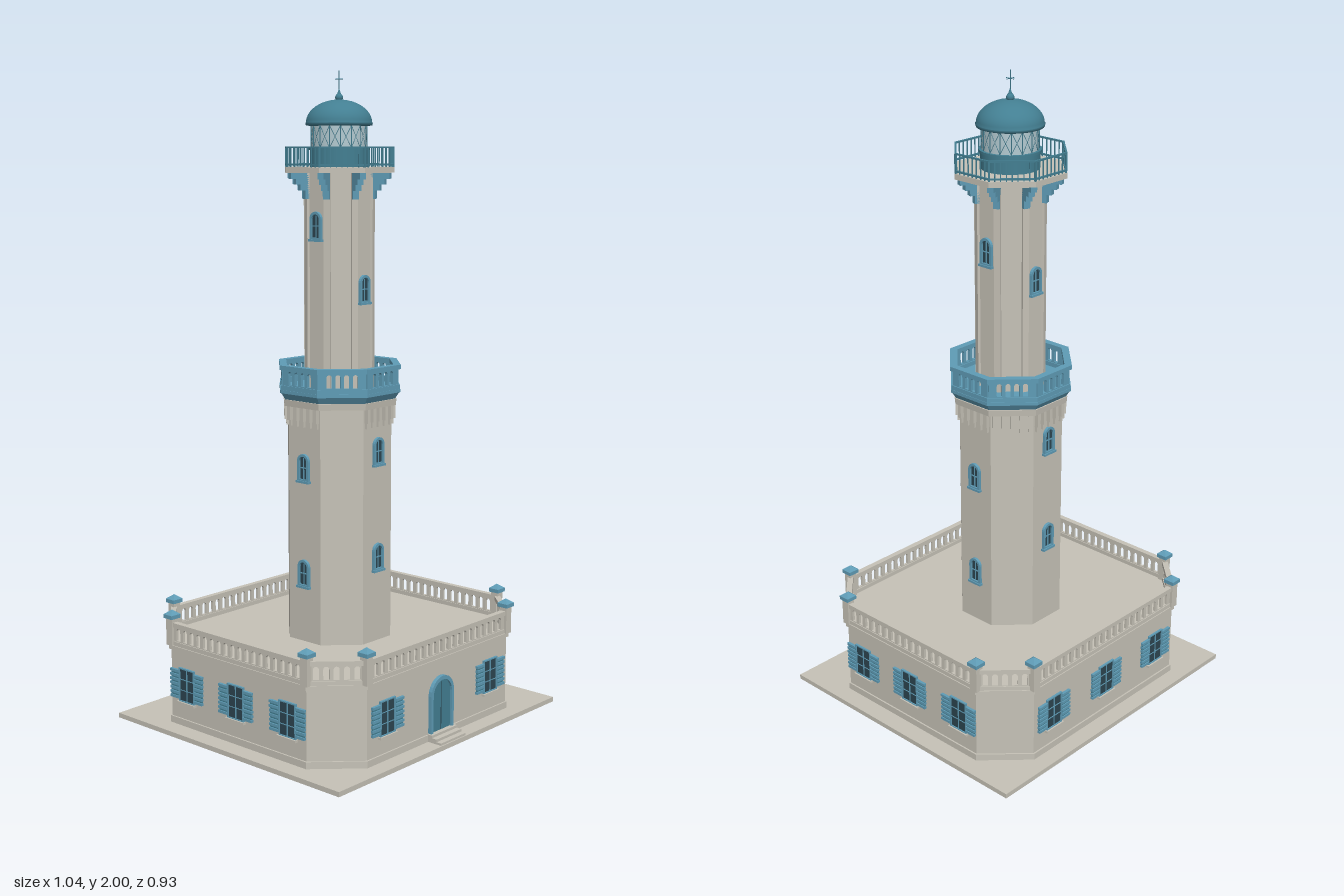
import * as THREE from 'three';

const mat = (name, color, side = THREE.FrontSide) => {
  const m = new THREE.MeshStandardMaterial({ color, side });
  m.name = name;
  return m;
};
const stone = mat('stone', 0xc6c2b7);
const blue = mat('blue paint', 0x5f9cb6);
const teal = mat('dark teal metal', 0x437f92);
const dark = mat('dark window', 0x2c4550);
const pane = mat('lantern glass', 0xb4cbd2);

function add(parent, name, geo, m, x = 0, y = 0, z = 0) {
  const mesh = new THREE.Mesh(geo, m);
  mesh.name = name;
  mesh.position.set(x, y, z);
  parent.add(mesh);
  return mesh;
}
const box = (p, name, m, w, h, d, x = 0, y = 0, z = 0) =>
  add(p, name, new THREE.BoxGeometry(w, h, d), m, x, y, z);

function group(parent, name, x = 0, y = 0, z = 0, ry = 0) {
  const g = new THREE.Group();
  g.name = name;
  g.position.set(x, y, z);
  g.rotation.y = ry;
  parent.add(g);
  return g;
}

// Regular octagonal drum with flat faces towards the axes; a0/a1 are apothems
const K = Math.cos(Math.PI / 8);
function octagon(p, name, m, a0, a1, y0, y1) {
  const g = new THREE.CylinderGeometry(a1 / K, a0 / K, y1 - y0, 8).rotateY(Math.PI / 8).toNonIndexed();
  g.computeVertexNormals();
  return add(p, name, g, m, 0, (y0 + y1) / 2);
}
const octPoints = (a) => Array.from({ length: 8 }, (_, i) => {
  const t = (i + 0.5) * Math.PI / 4;
  return [Math.sin(t) * a / K, Math.cos(t) * a / K];
});

// Chamfered rectangle of the ground floor, grown outwards by g
function basePoints(g) {
  const a = [0.333 + 0.41 * g, 0.405 + g], b = [0.452 + g, 0.283 + 0.41 * g];
  return [a, b, [b[0], -b[1]], [a[0], -a[1]], [-a[0], -a[1]], [-b[0], -b[1]], [-b[0], b[1]], [-a[0], a[1]]];
}
function baseSlab(p, name, g, y0, y1) {
  const shape = new THREE.Shape(basePoints(g).map(([x, z]) => new THREE.Vector2(x, -z)));
  const geo = new THREE.ExtrudeGeometry(shape, { depth: y1 - y0, bevelEnabled: false }).rotateX(-Math.PI / 2);
  return add(p, name, geo, stone, 0, y0);
}

// Calls fn(sideGroup, length) for each edge, local +z facing outwards
function eachSide(parent, name, pts, fn) {
  pts.forEach((a, i) => {
    const b = pts[(i + 1) % pts.length];
    const dx = b[0] - a[0], dz = b[1] - a[1];
    const mx = (a[0] + b[0]) / 2, mz = (a[1] + b[1]) / 2;
    const s = -dz * mx + dx * mz > 0 ? 1 : -1;
    fn(group(parent, name, mx, 0, mz, Math.atan2(-dz * s, dx * s)), Math.hypot(dx, dz));
  });
}

function arch(w, h, x = 0, y = 0, Type = THREE.Shape) {
  const s = new Type(), r = w / 2;
  s.moveTo(x - r, y);
  s.lineTo(x + r, y);
  s.lineTo(x + r, y + h - r);
  s.absarc(x, y + h - r, r, 0, Math.PI, false);
  s.lineTo(x - r, y);
  return s;
}
const extrude = (shape, depth) => new THREE.ExtrudeGeometry(shape, { depth, bevelEnabled: false, curveSegments: 6 });

// Pierced parapet: a panel of arched slots between two rails
function parapet(p, m, len, y0, y1, t, pitch) {
  const lo = 0.014, hi = 0.014, h = y1 - y0 - lo - hi;
  const panel = new THREE.Shape([[-len / 2, 0], [len / 2, 0], [len / 2, h], [-len / 2, h]]
    .map(([x, y]) => new THREE.Vector2(x, y)));
  const n = Math.floor((len - 0.02) / pitch);
  for (let i = 0; i < n; i++)
    panel.holes.push(arch(pitch * 0.58, h - 0.006, (i - (n - 1) / 2) * pitch, 0.003, THREE.Path));
  add(p, 'pierced panel', extrude(panel, t * 0.6), m, 0, y0 + lo, -t * 0.3);
  box(p, 'bottom rail', m, len + t * 0.4, lo, t, 0, y0 + lo / 2);
  box(p, 'top rail', m, len + t * 0.6, hi, t * 1.3, 0, y1 - hi / 2);
}

// Small arched tower window on a face at angle ry
function towerWindow(p, a, y, ry) {
  const g = group(p, 'tower window', Math.sin(ry) * a, y, Math.cos(ry) * a, ry);
  const frame = arch(0.046, 0.086, 0, -0.043);
  frame.holes.push(arch(0.03, 0.07, 0, -0.035, THREE.Path));
  add(g, 'window frame', extrude(frame, 0.009), blue);
  add(g, 'window pane', extrude(arch(0.032, 0.072, 0, -0.036), 0.003), dark);
  box(g, 'window bar', blue, 0.003, 0.066, 0.003, 0, -0.002, 0.004);
  box(g, 'window bar', blue, 0.03, 0.003, 0.003, 0, 0, 0.004);
  box(g, 'window sill', blue, 0.052, 0.007, 0.013, 0, -0.043, 0.006);
}

// Shuttered ground floor window
function houseWindow(p, x, z) {
  const g = group(p, 'shuttered window', x, 0.145, z);
  box(g, 'window pane', dark, 0.064, 0.1, 0.004, 0, 0, 0.001);
  for (const s of [-1, 1]) {
    box(g, 'window frame', blue, 0.004, 0.104, 0.008, s * 0.032, 0, 0.003);
    box(g, 'window frame', blue, 0.068, 0.004, 0.008, 0, s * 0.052, 0.003);
    box(g, 'glazing bar', blue, 0.064, 0.002, 0.004, 0, s * 0.017, 0.003);
    box(g, 'shutter', teal, 0.032, 0.09, 0.005, s * 0.052, 0, 0.003);
    for (let i = 0; i < 7; i++)
      box(g, 'shutter slat', blue, 0.036, 0.008, 0.01, s * 0.052, (i - 3) * 0.0138, 0.004);
  }
  box(g, 'glazing bar', blue, 0.003, 0.1, 0.005, 0, 0, 0.003);
  box(g, 'window sill', stone, 0.076, 0.007, 0.014, 0, -0.056, 0.005);
}

function bar(p, name, a, b, r, m) {
  const path = new THREE.LineCurve3(new THREE.Vector3(...a), new THREE.Vector3(...b));
  return add(p, name, new THREE.TubeGeometry(path, 1, r, 5), m);
}

function buildHouse(root) {
  const g = group(root, 'ground floor');
  box(g, 'ground slab', stone, 1.036, 0.015, 0.932, 0, 0.0075);
  baseSlab(g, 'plinth', 0.008, 0.015, 0.036);
  baseSlab(g, 'walls', 0.003, 0.036, 0.25);
  baseSlab(g, 'cornice', 0.01, 0.25, 0.263);
  for (let i = 0; i < 3; i++) {
    const top = 0.022 + i * 0.008, end = 0.462 - i * 0.017;
    box(g, 'door step', stone, 0.12, top - 0.01, end - 0.4, 0, (top + 0.01) / 2, (end + 0.4) / 2);
  }
  eachSide(g, 'terrace balustrade', basePoints(0), (s, len) => parapet(s, stone, len, 0.262, 0.335, 0.014, 0.0295));
  for (const [x, z] of basePoints(0)) {
    box(g, 'corner post', stone, 0.026, 0.083, 0.026, x, 0.3035, z);
    box(g, 'post cap', blue, 0.037, 0.012, 0.037, x, 0.353, z);
    const tip = new THREE.ConeGeometry(0.026, 0.014, 4).rotateY(Math.PI / 4).toNonIndexed();
    tip.computeVertexNormals();
    add(g, 'post cap point', tip, blue, x, 0.366, z);
  }
  // Windows on each long face, the door in the middle of the front
  const faces = [[0.408, [-0.247, 0.247]], [0.455, [-0.213, 0, 0.213]], [0.408, [-0.247, 0, 0.247]], [0.455, [-0.213, 0, 0.213]]];
  faces.forEach(([d, xs], i) => {
    const face = group(g, 'wall windows', 0, 0, 0, i * Math.PI / 2);
    xs.forEach((x) => houseWindow(face, x, d));
  });
  const door = group(g, 'front door', 0, 0.034, 0.408);
  const frame = arch(0.108, 0.174);
  frame.holes.push(arch(0.088, 0.16, 0, 0.002, THREE.Path));
  add(door, 'door frame', extrude(frame, 0.012), blue);
  add(door, 'door leaf', extrude(arch(0.092, 0.163), 0.005), teal);
  box(door, 'door joint', dark, 0.002, 0.15, 0.002, 0, 0.08, 0.005);
}

function buildTower(root) {
  const g = group(root, 'tower');
  octagon(g, 'lower shaft', stone, 0.157, 0.157, 0.26, 1.0);
  [[0.53, 0.86], [0.44, 0.77], [0.56, 0.89], [0.48, 0.81]].forEach((ys, i) =>
    ys.forEach((y) => towerWindow(g, 0.157, y, i * Math.PI / 2)));
  eachSide(g, 'corbel row', octPoints(0.163), (s) => {
    for (let i = -2; i <= 2; i++) {
      box(s, 'corbel', stone, 0.012, 0.05, 0.014, i * 0.027, 0.978);
      box(s, 'corbel foot', stone, 0.008, 0.02, 0.009, i * 0.027, 0.945, -0.003);
    }
  });
  // Lower gallery
  octagon(g, 'corbel table', stone, 0.17, 0.172, 0.995, 1.015);
  octagon(g, 'gallery moulding', blue, 0.168, 0.18, 1.015, 1.035);
  octagon(g, 'gallery floor', blue, 0.183, 0.183, 1.035, 1.045);
  eachSide(g, 'lower gallery parapet', octPoints(0.173), (s, len) => parapet(s, blue, len, 1.045, 1.12, 0.017, 0.026));
  // Upper shaft with corner strips
  octagon(g, 'upper shaft', stone, 0.099, 0.099, 1.04, 1.7);
  for (let i = 0; i < 8; i++) {
    const t = (i + 0.5) * Math.PI / 4;
    const c = group(g, 'shaft corner', 0, 0, 0, t);
    box(c, 'corner strip', stone, 0.02, 0.655, 0.02, 0, 1.3725, 0.101);
    const step = new THREE.Shape([[0.1, 1.7], [0.1, 1.62], [0.117, 1.62], [0.117, 1.645], [0.132, 1.645], [0.132, 1.663],
      [0.147, 1.663], [0.147, 1.68], [0.163, 1.68], [0.163, 1.7]].map(([x, y]) => new THREE.Vector2(x, y)));
    add(c, 'gallery bracket', extrude(step, 0.02).rotateY(-Math.PI / 2), blue, 0.01);
  }
  [1.35, 1.48, 1.39, 1.54].forEach((y, i) => towerWindow(g, 0.099, y, i * Math.PI / 2));
  // Upper gallery
  octagon(g, 'upper gallery floor', stone, 0.163, 0.163, 1.698, 1.715);
  eachSide(g, 'upper gallery railing', octPoints(0.159), (s, len) => {
    for (const y of [1.722, 1.773]) box(s, 'rail', teal, len + 0.003, 0.005, 0.006, 0, y);
    for (let i = 0; i < 8; i++)
      box(s, 'baluster', teal, i ? 0.003 : 0.006, 0.058, i ? 0.003 : 0.006, (i / 8 - 0.5) * len, 1.744);
  });
}

function buildLantern(root) {
  const g = group(root, 'lantern');
  const drum = (name, m, r, y0, y1) => add(g, name, new THREE.CylinderGeometry(r, r, y1 - y0, 32), m, 0, (y0 + y1) / 2);
  drum('lantern base', teal, 0.088, 1.715, 1.765);
  drum('lantern sill', teal, 0.093, 1.765, 1.772);
  drum('lantern glazing', pane, 0.084, 1.772, 1.838);
  const n = 16, r = 0.085;
  const at = (i, y) => [Math.sin(i * 2 * Math.PI / n) * r, y, Math.cos(i * 2 * Math.PI / n) * r];
  for (let i = 0; i < n; i++) {
    bar(g, 'glazing bar', at(i, 1.772), at(i, 1.838), 0.0016, teal);
    for (const s of [-1, 1]) bar(g, 'lattice bar', at(i, 1.772), at(i + s, 1.838), 0.001, teal);
  }
  // Dome with eave, finial, rod and cross arms
  const profile = [[0.08, 1.836], [0.1, 1.838], [0.102, 1.846]];
  for (let i = 0; i <= 12; i++) {
    const t = i / 12 * Math.PI / 2;
    profile.push([Math.max(0.0001, Math.cos(t) * 0.1), 1.846 + Math.sin(t) * 0.069]);
  }
  add(g, 'dome', new THREE.LatheGeometry(profile.map(([x, y]) => new THREE.Vector2(x, y)), 40), teal);
  add(g, 'finial ball', new THREE.SphereGeometry(0.012, 16, 12), teal, 0, 1.921);
  add(g, 'finial point', new THREE.ConeGeometry(0.007, 0.02, 12), teal, 0, 1.939);
  bar(g, 'rod', [0, 1.93, 0], [0, 2, 0], 0.0015, teal);
  bar(g, 'cross arm', [-0.016, 1.975, 0], [0.016, 1.975, 0], 0.0012, teal);
  bar(g, 'cross arm', [0, 1.975, -0.016], [0, 1.975, 0.016], 0.0012, teal);
}

export function createModel() {
  const root = new THREE.Group();
  root.name = 'lighthouse';
  buildHouse(root);
  buildTower(root);
  buildLantern(root);
  return root;
}
